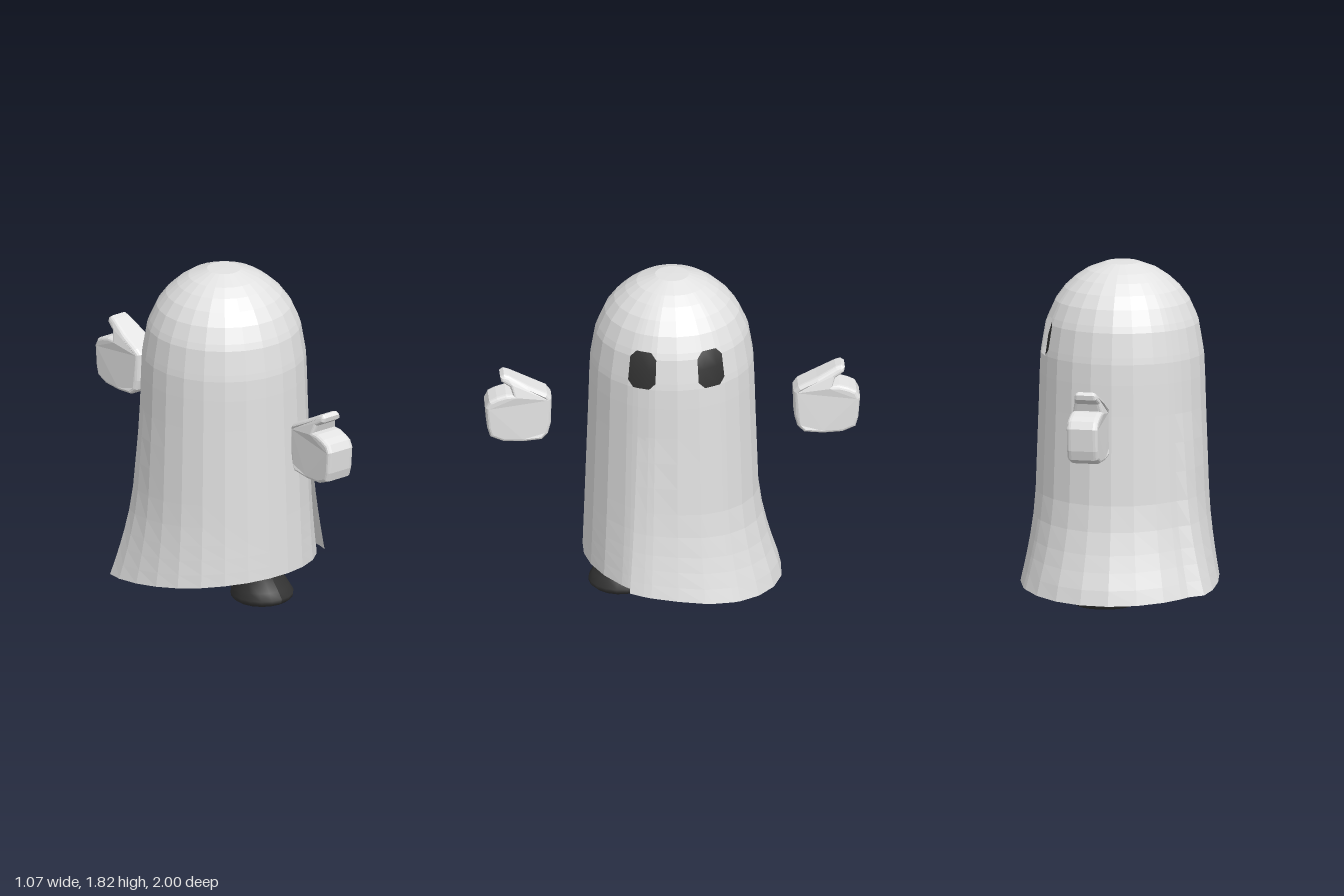
import * as THREE from 'three';

const sheetMat = new THREE.MeshStandardMaterial({ color: 0xe2e2e2, side: THREE.DoubleSide });
sheetMat.name = 'pale cloth';
const darkMat = new THREE.MeshStandardMaterial({ color: 0x343434 });
darkMat.name = 'dark body';
const handMat = new THREE.MeshStandardMaterial({ color: 0xe3e3e3 });
handMat.name = 'pale glove';

const clamp = (v) => Math.min(1, Math.max(0, v));
const rad = THREE.MathUtils.degToRad;

function mesh(name, geometry, material) {
  const m = new THREE.Mesh(geometry, material);
  m.name = name;
  return m;
}

// Flat-shaded surface over a grid of points; pick() may return fewer than four corners of a cell
function gridSurface(nRows, nCols, point, pick = () => [0, 1, 2, 3]) {
  const pos = [];
  for (let r = 0; r < nRows - 1; r++) {
    for (let c = 0; c < nCols - 1; c++) {
      const corners = [[r, c], [r + 1, c], [r + 1, c + 1], [r, c + 1]];
      const keep = pick(corners);
      for (let i = 1; i < keep.length - 1; i++) {
        for (const k of [keep[0], keep[i], keep[i + 1]]) pos.push(...point(...corners[k]));
      }
    }
  }
  const g = new THREE.BufferGeometry();
  g.setAttribute('position', new THREE.Float32BufferAttribute(pos, 3));
  g.computeVertexNormals();
  return g;
}

// Angles round the sheet (0 = +z, 90 = +x), starting at the slit
const COLS = [62, 70, 74.5, 90, 105.5, 110, 122, 126.5, 140, 155, 170, 185, 200, 215, 226, 231,
  238, 248, 262, 277, 292, 307, 322, 337, 352, 367, 382, 398, 413.5, 418, 422];
const polar = (a, r, y) => [r * Math.sin(rad(a)), y, r * Math.cos(rad(a))];

// Domed upper sheet with two rounded eye holes
function hoodGeometry() {
  const profile = [[0, 1.815], [0.09, 1.813], [0.19, 1.775], [0.25, 1.735], [0.31, 1.68],
    [0.36, 1.612], [0.397, 1.53], [0.41, 1.495], [0.432, 1.365], [0.437, 1.33], [0.442, 1.22], [0.447, 1.05]];
  const sideways = (a) => Math.abs((a > 360 ? a - 360 : a) - 90);
  const pick = (corners) => {
    const y = (profile[corners[0][0]][1] + profile[corners[1][0]][1]) / 2;
    const d = sideways((COLS[corners[0][1]] + COLS[corners[2][1]]) / 2);
    if (y > 1.53 || y < 1.33 || d < 15.5 || d > 36.5) return [0, 1, 2, 3];
    if ((y < 1.495 && y > 1.365) || (d > 20 && d < 32)) return [];
    // Corner cell of an eye: drop the corner nearest the eye centre
    const far = corners.map(([r, c]) =>
      Math.abs(sideways(COLS[c]) - 26) / 10 + Math.abs(profile[r][1] - 1.43) * 10);
    const nearest = far.indexOf(Math.min(...far));
    return [0, 1, 2, 3].filter((i) => i !== nearest);
  };
  return gridSurface(profile.length, COLS.length,
    (r, c) => polar(COLS[c], profile[r][0], profile[r][1]), pick);
}

// Lower sheet: slit with a lifted flap on one side, a pleat on the other, hem flaring to the back
function skirtGeometry() {
  const cols = [...COLS, 428];
  const rows = [0, 0.16, 0.32, 0.48, 0.62, 0.74, 0.83, 0.92, 1];
  return gridSurface(rows.length, cols.length, (r, c) => {
    const a = cols[c];
    const cos = Math.cos(rad(a));
    const hem = 0.122 + 0.073 * cos;
    const y = 1.05 + (hem - 1.05) * rows[r];
    const flare = 0.105 * (1 - cos) / 2 * Math.pow(clamp((0.58 - y) / 0.5), 1.6);
    const flap = 0.045 * clamp(1 - (a - 62) / 30);
    const pleat = a > 231 ? 0.05 * clamp((a - 231) / 7) * clamp((268 - a) / 30) : 0;
    const radius = 0.447 + 0.03 * (1.05 - y) / 0.85;
    return polar(a, radius + flare + (flap + pleat) * rows[r], y);
  });
}

const lathe = (profile, sides) =>
  new THREE.LatheGeometry(profile.map(([r, y]) => new THREE.Vector2(r, y)), sides);

// Leg whose foot leans forward and outward
function legGeometry(side) {
  const g = lathe([[0, 0], [0.145, 0.003], [0.166, 0.02], [0.169, 0.04], [0.155, 0.08], [0.14, 0.13],
    [0.131, 0.2], [0.13, 0.3], [0.13, 0.5]], 18);
  const p = g.attributes.position;
  for (let i = 0; i < p.count; i++) {
    const lean = clamp((0.22 - p.getY(i)) / 0.17);
    p.setX(i, p.getX(i) + 0.035 * lean);
    p.setZ(i, p.getZ(i) + side * (0.24 + 0.04 * lean));
  }
  g.computeVertexNormals();
  return g;
}

// Mitten hand with a thumb pointing up and outward
function handGeometry(side) {
  const outline = [[0.645, 1.12], [0.65, 0.97], [0.665, 0.915], [0.7, 0.885], [0.8, 0.875], [0.905, 0.88],
    [0.975, 0.91], [0.99, 0.96], [1, 1.08], [0.98, 1.12], [0.94, 1.14], [0.89, 1.155], [0.855, 1.155],
    [0.868, 1.195], [0.915, 1.225], [0.92, 1.25], [0.9, 1.265], [0.87, 1.255], [0.77, 1.2], [0.67, 1.15]];
  const shape = new THREE.Shape(outline.map(([z, y]) => new THREE.Vector2(z, y)));
  const g = new THREE.ExtrudeGeometry(shape, {
    depth: 0.12, bevelEnabled: true, bevelSize: 0.018, bevelOffset: -0.018, bevelThickness: 0.025, bevelSegments: 3,
  });
  g.translate(0, 0, -0.06);
  // Narrow the thumb and the wrist end
  const p = g.attributes.position;
  for (let i = 0; i < p.count; i++) {
    const thumb = 0.35 * clamp((p.getY(i) - 1.15) / 0.11);
    const wrist = 0.25 * clamp((0.7 - p.getX(i)) / 0.055);
    p.setZ(i, p.getZ(i) * (1 - Math.max(thumb, wrist)));
  }
  g.rotateY(-side * Math.PI / 2);
  g.computeVertexNormals();
  return g;
}

export function createModel() {
  const model = new THREE.Group();
  model.name = 'sheetGhost';

  const cloak = new THREE.Group();
  cloak.name = 'cloak';
  cloak.add(mesh('hood', hoodGeometry(), sheetMat), mesh('skirt', skirtGeometry(), sheetMat));
  model.add(cloak);

  // Dark body hidden under the sheet, seen through the eyes
  model.add(mesh('body', lathe([[0, 0.24], [0.2, 0.27], [0.32, 0.36], [0.39, 0.55], [0.41, 0.9], [0.412, 1.3],
    [0.395, 1.42], [0.365, 1.52], [0.28, 1.64], [0.15, 1.73], [0, 1.76]], 32), darkMat));

  for (const [side, label] of [[1, 'front'], [-1, 'back']]) {
    model.add(mesh(label + 'Leg', legGeometry(side), darkMat));
    model.add(mesh(label + 'Hand', handGeometry(side), handMat));
  }
  return model;
}
